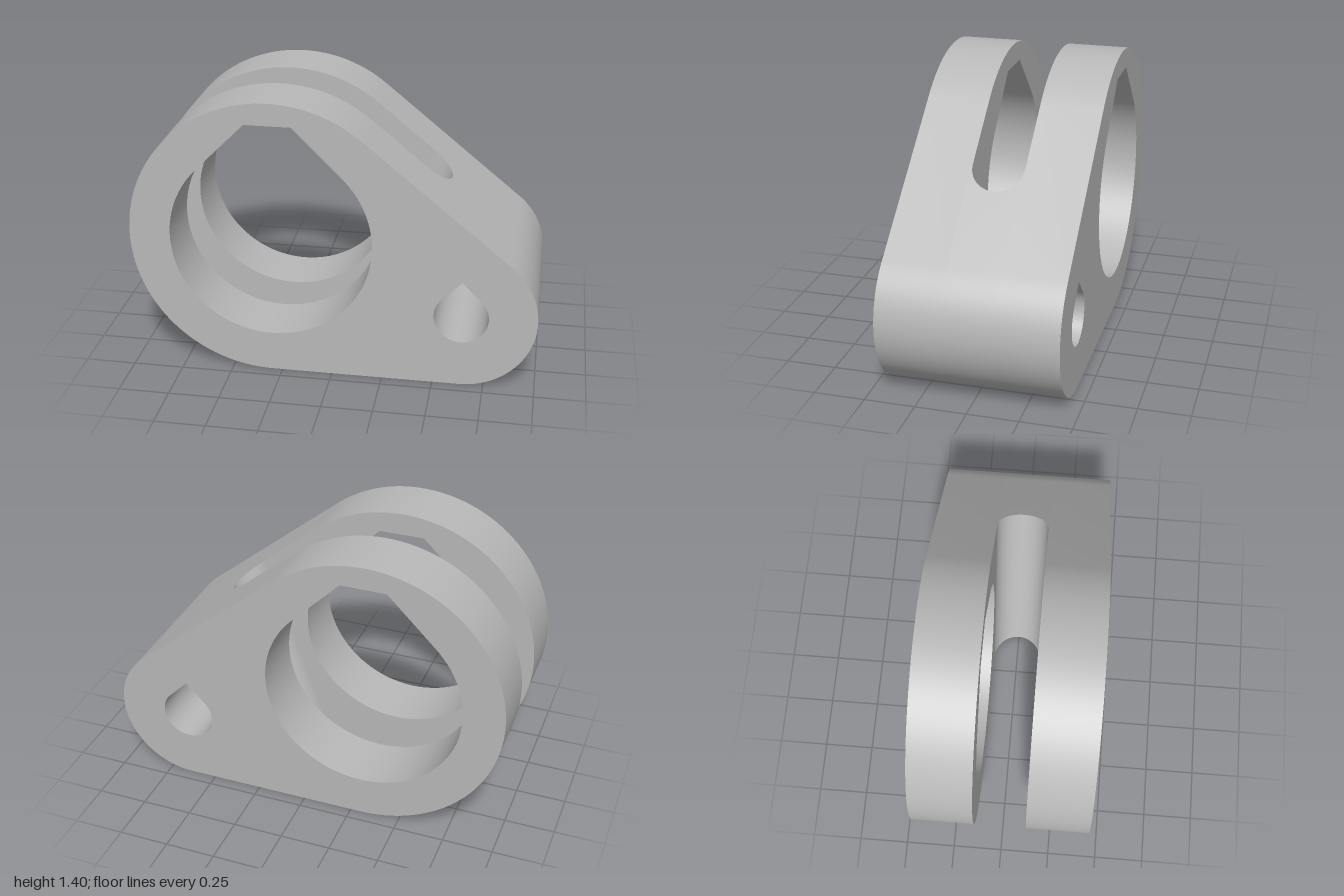
import * as THREE from 'three';
import { mergeGeometries, toCreasedNormals } from 'three/addons/utils/BufferGeometryUtils.js';

const A = new THREE.Vector2(-0.3, 0.7), RA = 0.7;        // clamp ring centre and radius
const B = new THREE.Vector2(0.633, 0.367), RB = 0.367;   // pivot lug centre and radius
const BORE = 0.497, BORE_TOP = 1.29, PIN = 0.133;
const DEPTH = 0.437;                                     // half thickness
const SLOT = 0.128, SLOT_U = 0.585;                      // slot half width, end centre along A-B
const PHI = Math.atan2(B.y - A.y, B.x - A.x);
const TOP = 2 * PHI + Math.PI / 2;                       // normal angle of the sloping flank

const polar = (c, r, a) => new THREE.Vector2(c.x + r * Math.cos(a), c.y + r * Math.sin(a));

function arc(c, r, a0, a1, n) {
  return Array.from({ length: n + 1 }, (_, i) => polar(c, r, a0 + (a1 - a0) * i / n));
}

// Points on the base and sloping flank at distance u along the line A-B
function flankPoints(u) {
  const t = (u + RA * Math.sin(PHI)) / Math.cos(PHI);
  const base = new THREE.Vector2(A.x + t, 0);
  const slope = polar(polar(A, RA, TOP), t, 2 * PHI);
  return { base, slope };
}

// Walls through rows of points ordered by rising z
function loft(rows) {
  const n = rows[0].length, pos = [], idx = [];
  rows.forEach(row => row.forEach(p => pos.push(p.x, p.y, p.z)));
  for (let j = 0; j < rows.length - 1; j++) {
    for (let i = 0; i < n - 1; i++) {
      const a = j * n + i, b = a + 1, c = b + n, d = a + n;
      idx.push(a, b, c, a, c, d);
    }
  }
  const g = new THREE.BufferGeometry();
  g.setAttribute('position', new THREE.Float32BufferAttribute(pos, 3));
  g.setIndex(idx);
  return toCreasedNormals(g, 0.5);
}

const atZ = (points, z) => points.map(p => new THREE.Vector3(p.x, p.y, z));
const wall = (points, z0, z1) => loft([atZ(points, z0), atZ(points, z1)]);
const closed = points => [...points, points[0]];

// Flat face with holes, looking towards +z or -z
function face(outline, holes, z, dir) {
  const shape = new THREE.Shape(outline);
  shape.holes = holes.map(h => new THREE.Path(h));
  const g = new THREE.ShapeGeometry(shape);
  if (dir < 0) {
    g.index.array.reverse();
    const normal = g.attributes.normal;
    for (let i = 0; i < normal.count; i++) normal.setZ(i, -1);
  }
  g.translate(0, 0, z);
  g.deleteAttribute('uv');
  return g.toNonIndexed();
}

export function createModel() {
  const group = new THREE.Group();
  group.name = 'slottedClamp';
  const grey = new THREE.MeshStandardMaterial({ color: 0xb8b8b8 });
  grey.name = 'grey';
  const add = (name, parts) => {
    const mesh = new THREE.Mesh(mergeGeometries(parts), grey);
    mesh.name = name;
    group.add(mesh);
  };

  // Profiles
  const ringArc = arc(A, RA, TOP, Math.PI * 1.5, 80);
  const lugArc = arc(B, RB, -Math.PI / 2, TOP, 48);
  const outline = [...ringArc, ...lugArc];
  const half = A.y + BORE * Math.SQRT2 - BORE_TOP;
  const bore = [
    ...arc(A, BORE, Math.PI * 0.75, Math.PI * 2.25, 80),
    new THREE.Vector2(A.x + half, BORE_TOP), new THREE.Vector2(A.x - half, BORE_TOP),
  ];
  const pin = [
    ...arc(B, PIN, Math.PI * 0.75, Math.PI * 2.25, 48),
    new THREE.Vector2(B.x, B.y + PIN * Math.SQRT2),
  ];
  const cut = flankPoints(SLOT_U);
  const slotOutline = [...ringArc, cut.base, cut.slope];
  const boreWall = closed(bore).reverse();

  // Two cheeks on either side of the slot
  for (const s of [1, -1]) {
    const z0 = s > 0 ? SLOT : -DEPTH, z1 = s > 0 ? DEPTH : -SLOT;
    add(s > 0 ? 'frontCheek' : 'rearCheek', [
      face(outline, [bore, pin], s * DEPTH, s),
      face(slotOutline, [bore], s * SLOT, -s),
      wall(closed(outline), z0, z1),
      wall(boreWall, z0, z1),
    ]);
  }

  // Web joining the cheeks, with the rounded slot end
  const outer = [], inner = [];
  for (let i = 0; i <= 32; i++) {
    const t = Math.PI * (i / 32 - 0.5), z = SLOT * Math.sin(t);
    const { base, slope } = flankPoints(SLOT_U + SLOT * Math.cos(t));
    outer.push(atZ([base, ...lugArc, slope], z));
    inner.push(atZ([slope, base], z));
  }
  add('web', [loft(outer)]);
  add('slotEnd', [loft(inner)]);

  // Teardrop pivot hole through the whole lug
  add('pivotHole', [wall(closed(pin).reverse(), -DEPTH, DEPTH)]);
  return group;
}
